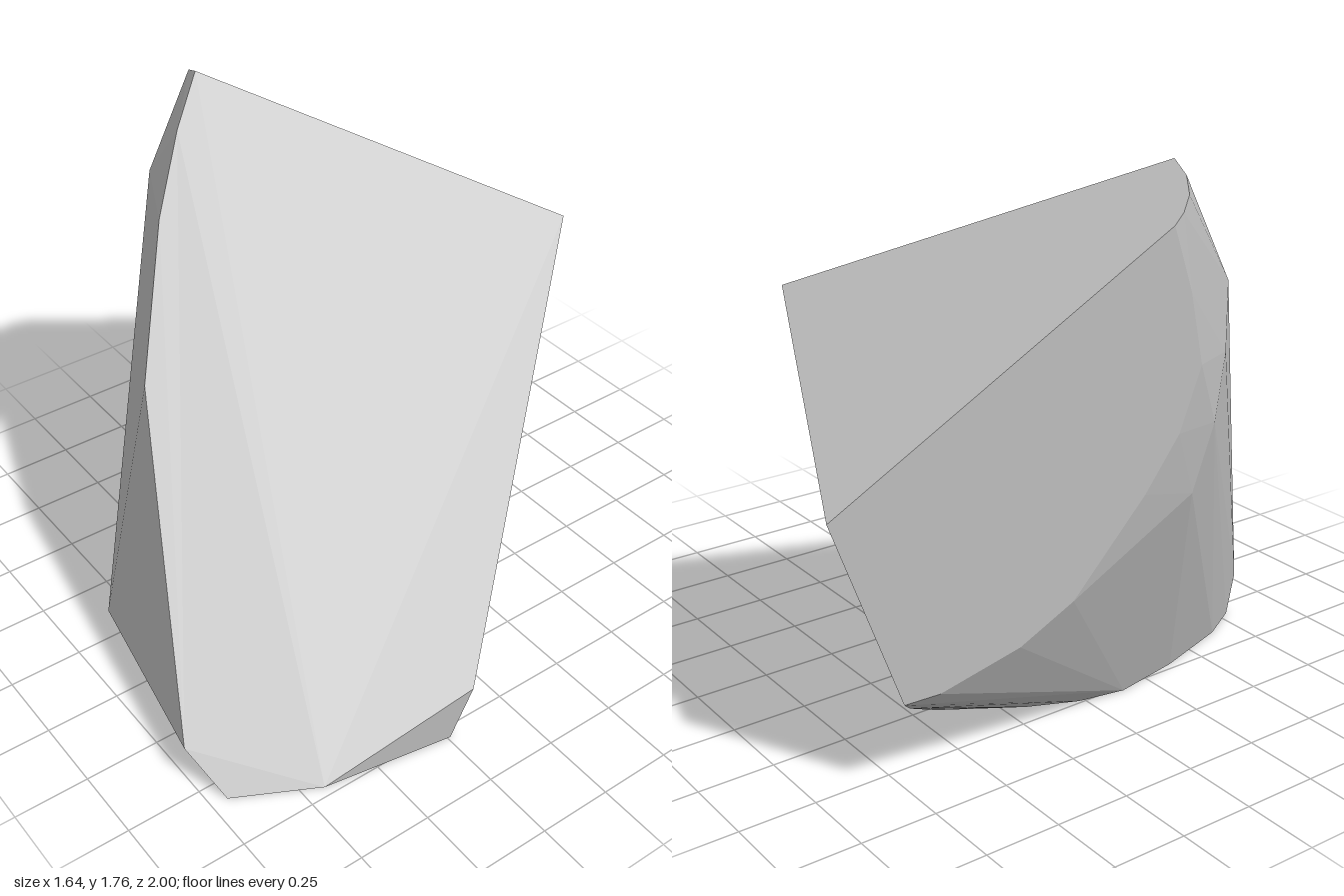
import * as THREE from 'three';
import { ConvexGeometry } from 'three/addons/geometries/ConvexGeometry.js';

const v = (p) => new THREE.Vector3(...p);

// Slide points along a face normal so that each cut face is truly flat.
function flatten(anchors, points) {
  const plane = new THREE.Plane().setFromCoplanarPoints(...anchors);
  return points.map((p) => plane.projectPoint(v(p), new THREE.Vector3()));
}

export function createModel() {
  const stone = new THREE.MeshStandardMaterial({ color: 0xbcbcbc });
  stone.name = 'grey stone';

  // main corners
  const peak = v([-0.62, 1.76, 0.19]);
  const shoulder = v([0.21, 1.33, -0.65]);
  const back = v([-0.62, 0.92, -1.0]);
  const side = v([0.81, 0.19, 0.17]);
  const toe = v([0.43, 0.13, 1.0]);

  // front ridge, on the big sloping face
  const ridge = flatten([peak, shoulder, side], [
    [-0.55, 1.62, 0.31], [-0.44, 1.4, 0.46], [-0.2, 1.0, 0.69],
  ]);
  // rounded corner of the top face
  const crown = flatten([peak, shoulder, back], [
    [-0.7, 1.73, 0.165], [-0.76, 1.69, 0.125], [-0.79, 1.65, 0.08], [-0.8, 1.62, 0.04],
  ]);
  // curved lower edge of the back face
  const backEdge = flatten([shoulder, back, side], [
    [-0.67, 0.33, -0.8], [-0.62, 0.28, -0.75], [-0.47, 0.16, -0.61], [-0.35, 0.065, -0.5],
  ]);
  // curved front edge of the left face
  const leftEdge = flatten([back, crown[3], backEdge[0]], [
    [-0.812, 1.42, 0.1], [-0.817, 1.2, 0.14], [-0.812, 1.0, 0.07], [-0.8, 0.83, -0.04],
    [-0.765, 0.54, -0.27], [-0.735, 0.43, -0.44], [-0.69, 0.34, -0.69],
  ]);
  // worn front left corner
  const worn = [
    [-0.74, 1.5, 0.25], [-0.73, 1.4, 0.32], [-0.775, 1.2, 0.28], [-0.805, 1.0, 0.22],
    [-0.785, 0.78, 0.16], [-0.29, 0.13, 0.84], [-0.24, 0.13, 0.88],
  ].map(v);
  // outline of the base on the ground
  const base = [
    [0.575, 0.945], [0.717, 0.68], [0.79, 0.24], [-0.27, -0.42], [-0.42, -0.18],
    [-0.49, -0.02], [-0.52, 0.14], [-0.475, 0.38], [-0.39, 0.65], [-0.31, 0.79], [-0.25, 0.81],
  ].map(([x, z]) => v([x, 0, z]));

  const rock = new THREE.Mesh(new ConvexGeometry([
    peak, shoulder, back, side, toe, ...ridge, ...crown, ...backEdge, ...leftEdge, ...worn, ...base,
  ]), stone);
  rock.name = 'rock';

  const group = new THREE.Group();
  group.name = 'boulder';
  group.add(rock);
  return group;
}
